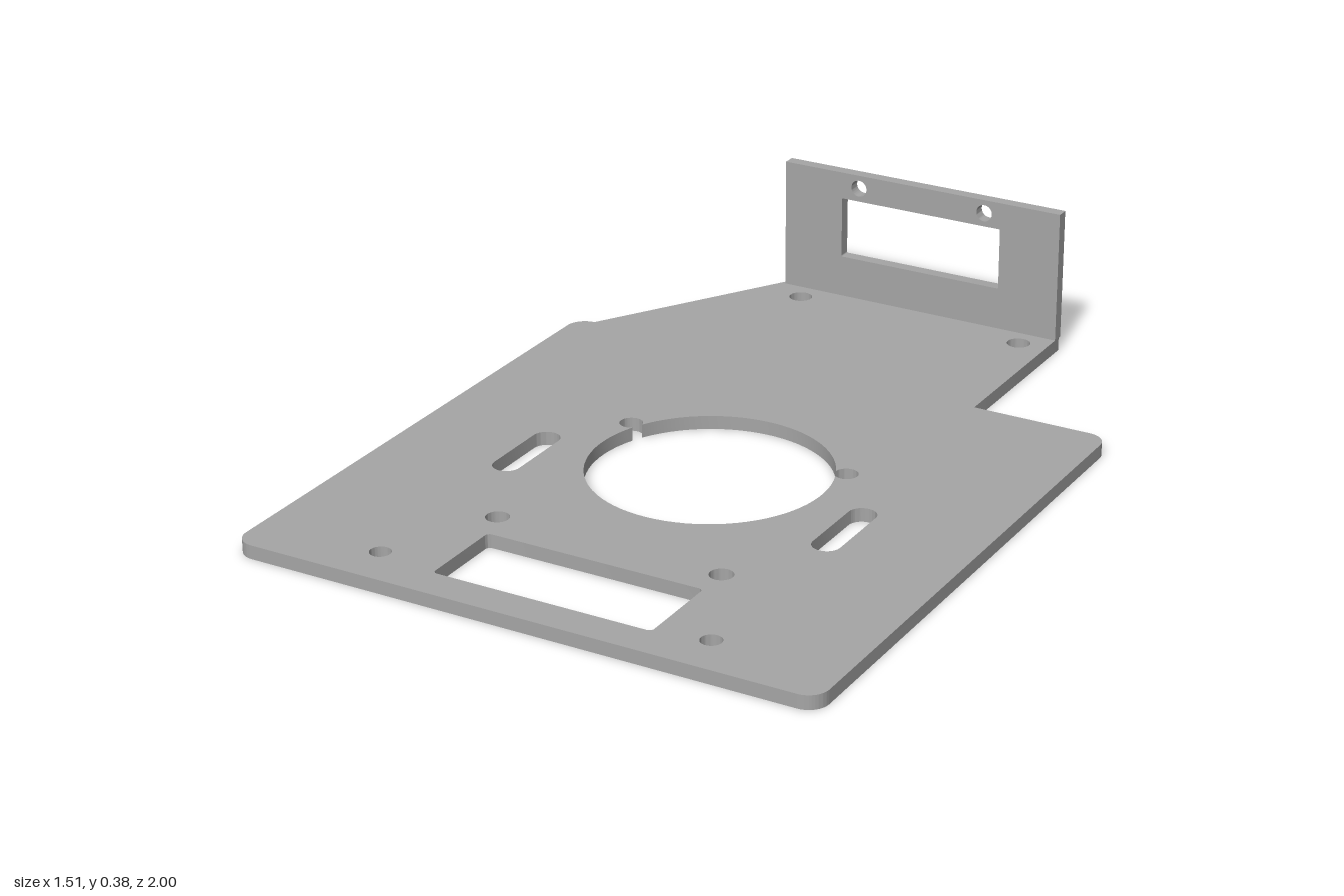
import * as THREE from 'three';
import { toCreasedNormals } from 'three/addons/utils/BufferGeometryUtils.js';

const THICK = 0.035;
const TAB_L = -0.398, TAB_R = 0.394;

function circle(x, y, r) {
  return new THREE.Path().absarc(x, y, r, 0, Math.PI * 2);
}

// Closed rectangle with rounded corners; also serves for slots
function roundRect(path, x0, x1, y0, y1, r) {
  const q = Math.PI / 2;
  path.absarc(x1 - r, y0 + r, r, -q, 0);
  path.absarc(x1 - r, y1 - r, r, 0, q);
  path.absarc(x0 + r, y1 - r, r, q, 2 * q);
  path.absarc(x0 + r, y0 + r, r, 2 * q, 3 * q);
  path.closePath();
  return path;
}

// Large bore merged with the two screw holes that break into its edge
function notchedBore(cy, R, nx, ny, r) {
  const dy = ny - cy, d = Math.hypot(nx, dy);
  const delta = Math.acos((d * d + R * R - r * r) / (2 * d * R));
  const phi = Math.atan2(R * Math.sin(delta), R * Math.cos(delta) - d);
  const right = Math.atan2(dy, nx), left = Math.PI - right;
  const p = new THREE.Path();
  p.absarc(0, cy, R, right + delta, left - delta);
  p.absarc(-nx, ny, r, left - phi, left + phi);
  p.absarc(0, cy, R, left + delta, right - delta + Math.PI * 2);
  p.absarc(nx, ny, r, right - phi, right + phi);
  p.closePath();
  return p;
}

function sheet(shape, depth) {
  return new THREE.ExtrudeGeometry(shape, { depth, bevelEnabled: false, curveSegments: 24 });
}

export function createModel() {
  const group = new THREE.Group();
  const metal = new THREE.MeshStandardMaterial({ color: 0xa6a6a6 });
  metal.name = 'grey metal';

  const add = (geometry, name) => {
    const mesh = new THREE.Mesh(toCreasedNormals(geometry, 0.5), metal);
    mesh.name = name;
    group.add(mesh);
  };

  // Base plate with rear tab, drawn in x and z
  const q = Math.PI / 2, W = 0.755, c = 0.05, t = 0.012;
  const base = new THREE.Shape();
  base.moveTo(TAB_L, -0.49);
  base.absarc(TAB_L + t, -1 + t, t, 2 * q, 3 * q);
  base.absarc(TAB_R - t, -1 + t, t, -q, 0);
  base.lineTo(TAB_R, -0.49);
  base.absarc(W - c, -0.49 + c, c, -q, 0);
  base.absarc(W - c, 1 - c, c, 0, q);
  base.absarc(-W + c, 1 - c, c, q, 2 * q);
  base.absarc(-W + c, -0.49 + c, c, 2 * q, 3 * q);
  base.closePath();

  // Bore, cable window, slots and screw holes
  base.holes.push(notchedBore(0.135, 0.3, 0.297, 0.003, 0.029));
  base.holes.push(roundRect(new THREE.Path(), -0.27, 0.298, 0.685, 0.91, 0.012));
  for (const s of [-1, 1]) {
    base.holes.push(roundRect(new THREE.Path(), s * 0.431 - 0.035, s * 0.431 + 0.035, 0.145, 0.39, 0.0349));
    base.holes.push(circle(s * 0.297, 0.602, 0.029));
    base.holes.push(circle(s * 0.431, 0.882, 0.026));
    base.holes.push(circle(s * 0.318, -0.907, 0.03));
  }
  const baseGeo = sheet(base, THICK);
  baseGeo.rotateX(Math.PI / 2).translate(0, THICK, 0);
  add(baseGeo, 'basePlate');

  // Upright rear flange with window and two screw holes
  const flange = new THREE.Shape();
  flange.moveTo(TAB_L, THICK);
  flange.lineTo(TAB_R, THICK);
  flange.lineTo(TAB_R, 0.382);
  flange.lineTo(TAB_L, 0.382);
  flange.closePath();
  flange.holes.push(roundRect(new THREE.Path(), -0.23, 0.227, 0.146, 0.31, 0.003));
  for (const s of [-1, 1]) flange.holes.push(circle(s * 0.181, 0.346, 0.022));
  const flangeGeo = sheet(flange, 0.032);
  flangeGeo.translate(0, 0, -1);
  add(flangeGeo, 'rearFlange');

  return group;
}
